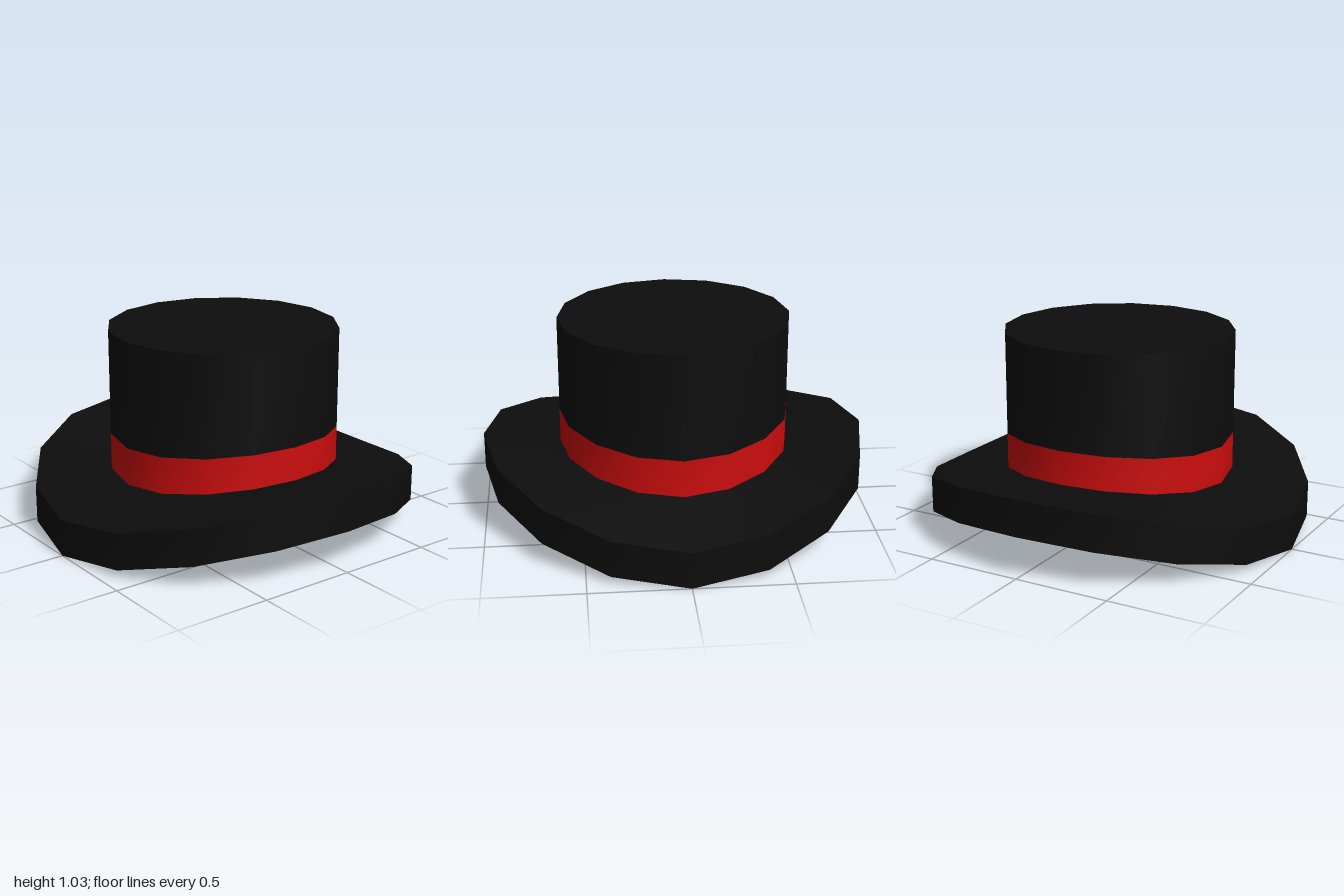
import * as THREE from 'three';
import { mergeVertices } from 'three/addons/utils/BufferGeometryUtils.js';

const SIDES = 16;
const black = new THREE.MeshStandardMaterial({ color: 0x0d0d0d });
const red = new THREE.MeshStandardMaterial({ color: 0xcc0d0d });

// A ring: radius, height at front/back, and extra height gained at the sides
const ring = (r, y, rise = 0) => ({ r, y, rise });

// Smooth band between two saddle-curved rings; faces outward when 'a' is above 'b',
// and the other way round when the order is swapped
function strip(name, a, b, material) {
  let geo = new THREE.CylinderGeometry(a.r, b.r, 1, SIDES, 1, true);
  const p = geo.attributes.position;
  for (let i = 0; i < p.count; i++) {
    const k = p.getY(i) > 0 ? a : b;
    p.setY(i, k.y + k.rise * Math.pow(Math.abs(p.getX(i)) / k.r, 1.75));
  }
  geo.deleteAttribute('uv');
  geo.deleteAttribute('normal');
  geo = mergeVertices(geo);
  geo.computeVertexNormals();
  const mesh = new THREE.Mesh(geo, material);
  mesh.name = name;
  return mesh;
}

// Flat disc facing up (dir = 1) or down (dir = -1)
function disc(name, r, y, dir) {
  const geo = new THREE.CircleGeometry(r, SIDES).rotateX(-dir * Math.PI / 2);
  const mesh = new THREE.Mesh(geo, black);
  mesh.name = name;
  mesh.position.y = y;
  return mesh;
}

export function createModel() {
  const hat = new THREE.Group();
  hat.name = 'topHat';

  const crownTop = ring(0.6, 1.035);
  const bandTop = ring(0.6, 0.48, 0.05);
  const bandBottom = ring(0.6, 0.285, 0.07);
  const rimTop = ring(1, 0.19, 0.215);
  const rimBottom = ring(1, 0, 0.215);
  const opening = ring(0.45, 0.08, 0.075);
  const ceiling = ring(0.45, 0.88);

  // Crown and ribbon
  const crown = new THREE.Group();
  crown.name = 'crown';
  crown.add(
    disc('crownTop', 0.6, 1.035, 1),
    strip('crownWall', crownTop, bandTop, black),
    strip('ribbon', bandTop, bandBottom, red)
  );

  // Curled brim
  const brim = new THREE.Group();
  brim.name = 'brim';
  brim.add(
    strip('brimTop', bandBottom, rimTop, black),
    strip('brimEdge', rimTop, rimBottom, black),
    strip('brimUnderside', rimBottom, opening, black)
  );

  // Hollow inside for the head
  const inside = new THREE.Group();
  inside.name = 'inside';
  inside.add(
    strip('insideWall', opening, ceiling, black),
    disc('insideCeiling', 0.45, 0.88, -1)
  );

  hat.add(crown, brim, inside);
  return hat;
}
